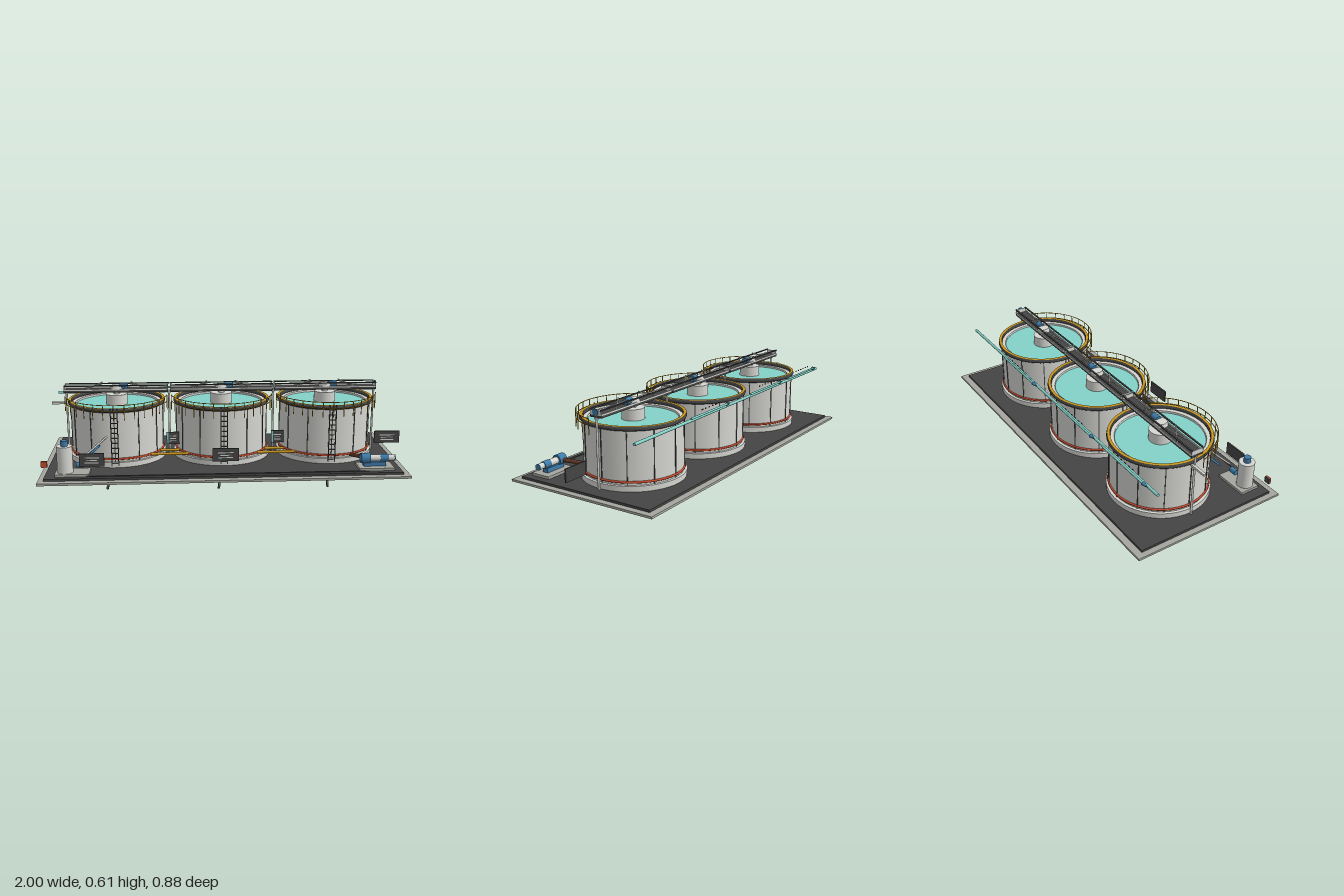
import * as THREE from 'three';

const mat = (name, color, double) => {
  const m = new THREE.MeshStandardMaterial({ color });
  m.name = name;
  if (double) m.side = THREE.DoubleSide;
  return m;
};

export function createModel() {
  const pale = mat('pale steel', 0xd6d6d2, true);
  const concrete = mat('concrete', 0xa6a6a0);
  const dark = mat('dark grey', 0x444444);
  const gold = mat('safety yellow', 0xc8961e, true);
  const rust = mat('rust red', 0xc64a2c);
  const brown = mat('brown pipe', 0x5e3626);
  const teal = mat('teal water', 0x84d2c8, true);
  const blue = mat('motor blue', 0x3f7ba8);

  const model = new THREE.Group();
  const V = (x, y, z) => new THREE.Vector3(x, y, z);

  // Helpers: each adds one named mesh to a parent
  const add = (parent, name, geo, m, x = 0, y = 0, z = 0) => {
    const mesh = new THREE.Mesh(geo, m);
    mesh.name = name;
    mesh.position.set(x, y, z);
    parent.add(mesh);
    return mesh;
  };
  const box = (p, name, m, w, h, d, x, y, z) => add(p, name, new THREE.BoxGeometry(w, h, d), m, x, y, z);
  const cyl = (p, name, m, rt, rb, y0, y1, x = 0, z = 0, seg = 32, open = false) =>
    add(p, name, new THREE.CylinderGeometry(rt, rb, y1 - y0, seg, 1, open), m, x, (y0 + y1) / 2, z);
  const rod = (p, name, m, a, b, r, r2 = r, seg = 8) => {
    const d = b.clone().sub(a), mid = a.clone().add(b).multiplyScalar(0.5);
    const mesh = add(p, name, new THREE.CylinderGeometry(r2, r, d.length(), seg), m, mid.x, mid.y, mid.z);
    mesh.quaternion.setFromUnitVectors(V(0, 1, 0), d.normalize());
    return mesh;
  };
  const hoop = (p, name, m, R, r, y, arc = Math.PI * 2, start = 0) => {
    const geo = new THREE.TorusGeometry(R, r, 8, 64, arc);
    geo.rotateZ(start).rotateX(Math.PI / 2);
    return add(p, name, geo, m, 0, y, 0);
  };

  // Base slab and dark deck
  box(model, 'baseSlab', concrete, 1.965, 0.012, 0.88, -0.018, 0.183, 0);
  box(model, 'deck', dark, 1.9, 0.012, 0.805, -0.02, 0.195, 0);

  const makeTank = (x, index) => {
    const tank = new THREE.Group();
    tank.name = 'tank' + (index + 1);
    tank.position.set(x, 0, -0.043);
    model.add(tank);

    // Shell, plinth, water and inner channel
    cyl(tank, 'plinth', pale, 0.272, 0.272, 0.2, 0.23, 0, 0, 48);
    cyl(tank, 'wall', pale, 0.257, 0.257, 0.228, 0.52, 0, 0, 48, true);
    cyl(tank, 'water', teal, 0.235, 0.235, 0.46, 0.495, 0, 0, 48);
    const channel = [[0.257, 0.505], [0.234, 0.505], [0.23, 0.505], [0.23, 0.47]].map(p => new THREE.Vector2(...p));
    add(tank, 'innerChannel', new THREE.LatheGeometry(channel, 48), pale);
    for (let i = 0; i < 12; i++) {
      const a = i * Math.PI / 6;
      const s = box(tank, 'wallSeam', dark, 0.005, 0.275, 0.004, 0.258 * Math.sin(a), 0.367, 0.258 * Math.cos(a));
      s.rotation.y = a;
    }
    hoop(tank, 'lowerBand', rust, 0.259, 0.006, 0.246);
    hoop(tank, 'rim', dark, 0.26, 0.011, 0.514);
    const trim = new THREE.RingGeometry(0.252, 0.268, 64).rotateX(-Math.PI / 2);
    add(tank, 'rimTrim', trim, gold, 0, 0.5265, 0);

    // Shallow hopper under the slab
    const hopper = [[0.206, 0.177], [0.13, 0.145], [0, 0.165]].map(p => new THREE.Vector2(...p));
    add(tank, 'hopper', new THREE.LatheGeometry(hopper, 48), pale);

    // Rods and blades hanging below
    const legs = [
      [[-0.02, -0.065, 0.02], [0.045, 0.145, 0.075]],
      [[0.0, -0.02, 0.01], [0.02, 0.125, 0.075]],
      [[0.0, 0.02, 0.005], [-0.03, -0.15, 0.075]],
    ][index];
    for (const [x0, x1, y1] of legs) {
      rod(tank, 'hangingRod', pale, V(x0, 0.17, 0.11), V(x1, y1 + 0.012, 0.105), 0.004);
      rod(tank, 'hangingBlade', dark, V(x1 + (x0 - x1) * 0.25, y1 + 0.035, 0.093), V(x1, y1 - 0.003, 0.093), 0.007);
    }

    // Front handrail with posts
    const R = 0.287, a0 = 0.18, a1 = Math.PI - 0.18;
    for (const y of [0.55, 0.517]) hoop(tank, 'handrail', gold, R, 0.0022, y, a1 - a0, a0);
    for (let i = 0; i <= 14; i++) {
      const a = a0 + (a1 - a0) * i / 14;
      cyl(tank, 'railPost', gold, 0.0025, 0.0025, 0.468, 0.55, R * Math.cos(a), R * Math.sin(a), 6);
    }

    // Front ladder
    for (const s of [-1, 1]) box(tank, 'ladderRail', dark, 0.005, 0.32, 0.005, s * 0.018, 0.37, 0.27);
    for (let i = 0; i < 11; i++) box(tank, 'ladderRung', dark, 0.036, 0.004, 0.004, 0, 0.225 + i * 0.028, 0.27);

    // Bridge across the top with solid sides and bracing
    box(tank, 'bridgeDeck', dark, 0.578, 0.012, 0.07, 0, 0.571, 0);
    for (const s of [-1, 1]) {
      box(tank, 'bridgeSide', pale, 0.578, 0.008, 0.004, 0, 0.581, s * 0.034);
      box(tank, 'bridgeEdge', dark, 0.578, 0.006, 0.008, 0, 0.603, s * 0.032);
      for (const t of [-1, 1]) {
        rod(tank, 'brace', pale, V(t * 0.17, 0.58, s * 0.028), V(t * 0.08, 0.612, -s * 0.028), 0.0035);
        box(tank, 'bridgeEnd', pale, 0.004, 0.024, 0.064, t * 0.287, 0.589, 0);
      }
    }

    // Central well and drive
    cyl(tank, 'centreWell', pale, 0.06, 0.06, 0.48, 0.553);
    cyl(tank, 'driveShaft', pale, 0.018, 0.018, 0.55, 0.57);
    cyl(tank, 'gearbox', pale, 0.032, 0.037, 0.577, 0.598);
    rod(tank, 'driveMotor', blue, V(0.02, 0.593, 0), V(0.065, 0.593, 0), 0.018, 0.018, 20);
  };
  [-0.607, -0.018, 0.573].forEach(makeTank);

  // Bridge support posts
  for (const x of [-0.885, -0.313, 0.278, 0.855]) {
    cyl(model, 'supportPost', pale, 0.006, 0.006, 0.2, 0.566, x, -0.043, 12);
    cyl(model, 'postHead', pale, 0.014, 0.007, 0.55, 0.566, x, -0.043, 12);
  }
  // Drive end face on the outer bridge
  rod(model, 'bridgeEndDisc', blue, V(0.86, 0.592, -0.043), V(0.866, 0.592, -0.043), 0.017, 0.017, 20);
  box(model, 'endOutlet', pale, 0.1, 0.012, 0.014, -0.92, 0.5, -0.05);

  // Yellow transfer pipes between tanks
  for (const x of [-0.312, 0.278]) {
    for (const z of [0.055, 0.13]) rod(model, 'transferPipe', gold, V(x - 0.11, 0.245, z), V(x + 0.11, 0.245, z), 0.008, 0.008, 12);
  }

  // Rear pipe and flow arrows
  rod(model, 'rearPipe', teal, V(-0.97, 0.5, -0.322), V(0.93, 0.5, -0.322), 0.008, 0.008, 12);
  for (const x of [-0.92, -0.47, 0.12]) {
    rod(model, 'flowArrowShaft', teal, V(x + 0.04, 0.519, -0.343), V(x + 0.38, 0.519, -0.343), 0.006);
    rod(model, 'flowArrowHead', [blue, teal, teal], V(x + 0.04, 0.519, -0.343), V(x, 0.519, -0.343), 0.011, 0, 16);
    for (let i = 0; i < 6; i++) box(model, 'flowMark', dark, 0.012, 0.006, 0.002, x + 0.12 + i * 0.032, 0.545, -0.345);
  }

  // Information boards with plain pale strips
  const boards = [
    [-0.717, 0.295, 0.38, 0.13], [-0.02, 0.312, 0.385, 0.138], [0.925, 0.296, 0.042, 0.145],
    [-0.295, 0.31, 0.042, 0.07], [0.295, 0.31, 0.042, 0.07],
  ];
  for (const [x, y, z, w] of boards) {
    box(model, 'board', dark, w, 0.07, 0.008, x, y, z);
    for (const [k, dy] of [[0.6, 0.012], [0.45, -0.002], [0.55, -0.015]]) {
      box(model, 'boardStrip', pale, w * k, 0.005, 0.002, x, y + dy, z + 0.005);
    }
    if (w < 0.1) box(model, 'boardEdge', teal, 0.008, 0.066, 0.002, x - 0.029, y, z + 0.005);
  }
  box(model, 'frontCurb', dark, 1.5, 0.005, 0.006, 0, 0.203, 0.375);

  // Small red marker with dark backing
  box(model, 'frontMarker', rust, 0.032, 0.032, 0.008, -0.962, 0.278, 0.39);
  box(model, 'markerBack', dark, 0.032, 0.032, 0.006, -0.962, 0.278, 0.383);

  // Dosing vessel on the left
  box(model, 'dosingPlinth', concrete, 0.18, 0.014, 0.11, -0.825, 0.208, 0.318);
  cyl(model, 'dosingVessel', pale, 0.042, 0.042, 0.215, 0.358, -0.863, 0.325);
  cyl(model, 'dosingCap', blue, 0.019, 0.019, 0.358, 0.387, -0.863, 0.325, 20);
  rod(model, 'dosingPump', blue, V(-0.805, 0.25, 0.315), V(-0.765, 0.25, 0.315), 0.015, 0.015, 16);
  rod(model, 'dosingPipe', pale, V(-0.765, 0.29, 0.3), V(-0.65, 0.37, 0.21), 0.005);
  rod(model, 'dosingPipeSleeve', blue, V(-0.74, 0.285, 0.255), V(-0.69, 0.325, 0.215), 0.006);

  // Discharge pump on the right
  box(model, 'pumpPlinth', concrete, 0.19, 0.014, 0.115, 0.795, 0.208, 0.313);
  const px = V(0, 0.257, 0.315);
  const seg = (name, m, x0, x1, r) => rod(model, name, m, px.clone().setX(x0), px.clone().setX(x1), r, r, 20);
  seg('pumpBody', blue, 0.715, 0.765, 0.028);
  seg('pumpCoupling', pale, 0.765, 0.82, 0.018);
  seg('pumpMotor', blue, 0.82, 0.865, 0.02);
  seg('pumpEnd', pale, 0.865, 0.897, 0.016);
  seg('pumpEndCap', blue, 0.897, 0.902, 0.017);
  box(model, 'pumpFoot', blue, 0.12, 0.024, 0.034, 0.79, 0.227, 0.315);
  rod(model, 'pumpPipe', brown, V(0.74, 0.256, 0.3), V(0.685, 0.24, 0.185), 0.011, 0.011, 12);

  return model;
}
